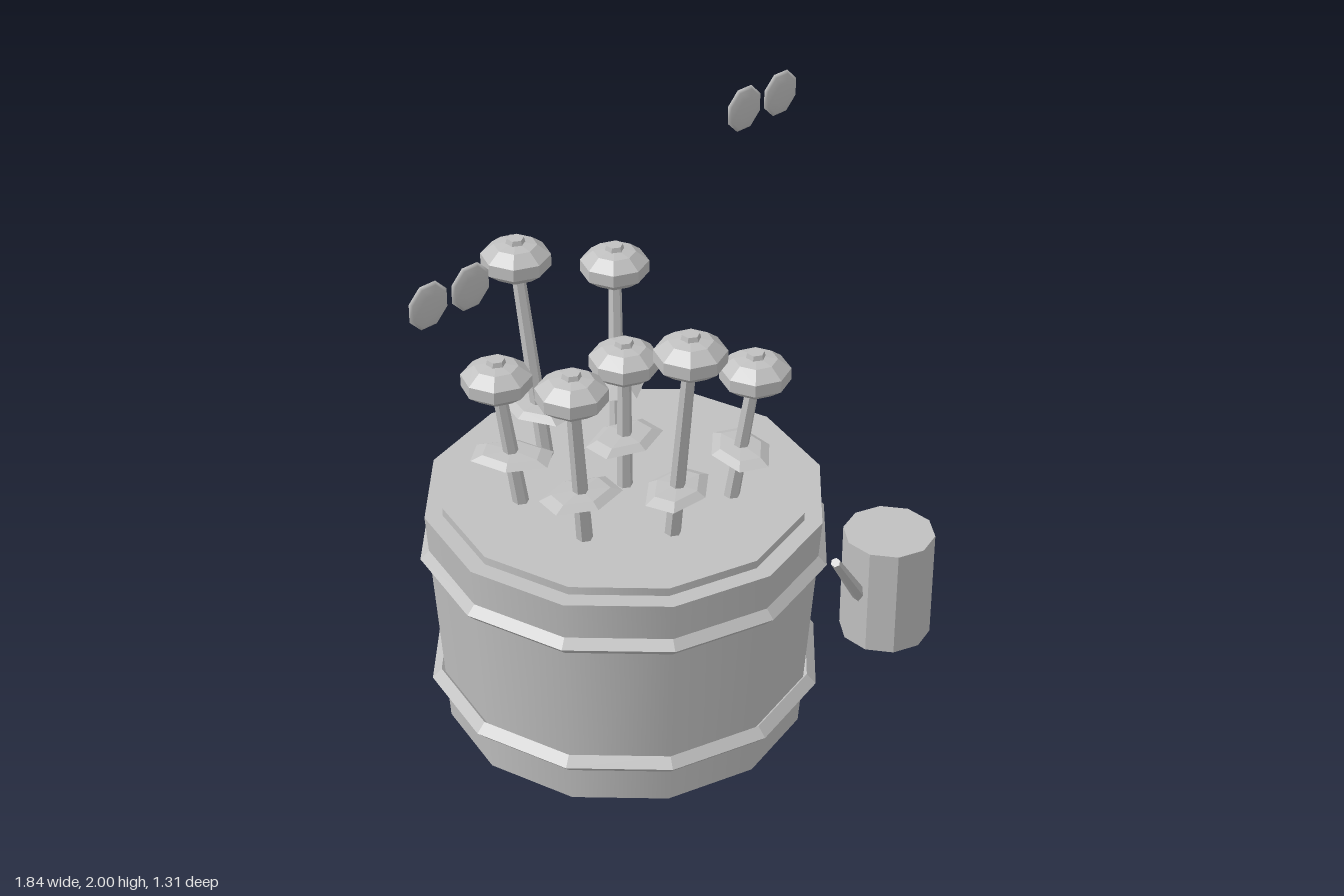
import * as THREE from 'three';

export function createModel() {
  const model = new THREE.Group();
  model.name = 'flowerBarrel';
  const grey = new THREE.MeshStandardMaterial({ color: 0xc0c0c0 });
  grey.name = 'plain grey';

  // Faceted parts get one normal per face
  const flat = (geo) => {
    const g = geo.toNonIndexed();
    g.computeVertexNormals();
    return g;
  };
  const add = (parent, name, geo, x = 0, y = 0, z = 0) => {
    const mesh = new THREE.Mesh(geo, grey);
    mesh.name = name;
    mesh.position.set(x, y, z);
    parent.add(mesh);
    return mesh;
  };
  // Cylinder running between two points
  const rod = (parent, name, a, b, rA, rB, sides) => {
    const dir = b.clone().sub(a);
    const mid = a.clone().add(b).multiplyScalar(0.5);
    const geo = flat(new THREE.CylinderGeometry(rB, rA, dir.length(), sides));
    const mesh = add(parent, name, geo, mid.x, mid.y, mid.z);
    mesh.quaternion.setFromUnitVectors(new THREE.Vector3(0, 1, 0), dir.normalize());
    return mesh;
  };

  // Barrel with two hoops and soil
  const barrel = new THREE.Group();
  barrel.name = 'barrel';
  barrel.position.x = -0.1;
  model.add(barrel);
  add(barrel, 'barrelWall', new THREE.CylinderGeometry(0.637, 0.58, 0.775, 12), 0, 0.3875, 0);
  add(barrel, 'soil', new THREE.CylinderGeometry(0.58, 0.58, 0.04, 12), 0, 0.782, 0);
  for (const [y, r] of [[0.157, 0.605], [0.622, 0.626]]) {
    const hoop = new THREE.TorusGeometry(r, 0.03, 4, 12).rotateX(Math.PI / 2);
    add(barrel, 'hoop', flat(hoop), 0, y, 0);
  }

  // Flowers: head position and leaf angle in degrees
  const flowers = [
    [-0.1, 1.25, 0, 0],
    [0.14, 1.25, 0.325, 115],
    [-0.2, 1.48, 0.39, 160],
    [-0.465, 1.36, 0.165, 189],
    [-0.455, 1.25, -0.185, 233],
    [-0.185, 1.48, -0.395, 265],
    [0.155, 1.36, -0.315, 305],
  ];
  const headGeo = flat(new THREE.SphereGeometry(0.115, 8, 5).scale(1, 0.56, 1));
  const budGeo = flat(new THREE.CylinderGeometry(0.027, 0.036, 0.035, 6));
  const leafGeo = flat(new THREE.SphereGeometry(1, 6, 4).rotateY(Math.PI / 2).scale(0.139, 0.023, 0.095));
  for (const [x, y, z, angle] of flowers) {
    const flower = new THREE.Group();
    flower.name = 'flower';
    model.add(flower);
    const head = new THREE.Vector3(x, y, z);
    // Outer stems lean away from the barrel axis
    const out = new THREE.Vector3(x + 0.1, 0, z).normalize();
    const stemAt = (h) => head.clone().addScaledVector(out, -0.145 * (y - h)).setY(h);
    rod(flower, 'stem', stemAt(0.78), head, 0.026, 0.021, 6);
    add(flower, 'flowerHead', headGeo, x, y, z);
    add(flower, 'flowerCentre', budGeo, x, y + 0.057, z);
    const p = stemAt(0.97);
    add(flower, 'leaf', leafGeo, p.x, p.y, p.z).rotation.y = -THREE.MathUtils.degToRad(angle);
  }

  // Watering can
  const can = new THREE.Group();
  can.name = 'wateringCan';
  model.add(can);
  add(can, 'canBody', flat(new THREE.CylinderGeometry(0.153, 0.153, 0.385, 10)), 0.77, 0.1925, 0.35);
  rod(can, 'spout', new THREE.Vector3(0.67, 0.155, 0.335), new THREE.Vector3(0.425, 0.465, 0.427), 0.026, 0.016, 6);

  // Butterflies: two lens-shaped wings each
  const wingGeo = new THREE.SphereGeometry(0.075, 8, 6)
    .rotateY(Math.PI / 8).scale(1, 0.2, 1).rotateX(Math.PI / 2);
  for (const [x, y] of [[-0.775, 1.745], [0.48, 1.935]]) {
    const butterfly = new THREE.Group();
    butterfly.name = 'butterfly';
    butterfly.position.set(x, y, 0);
    model.add(butterfly);
    for (const s of [-1, 1]) add(butterfly, 'wing', wingGeo, s * 0.078, 0, 0);
  }
  return model;
}
